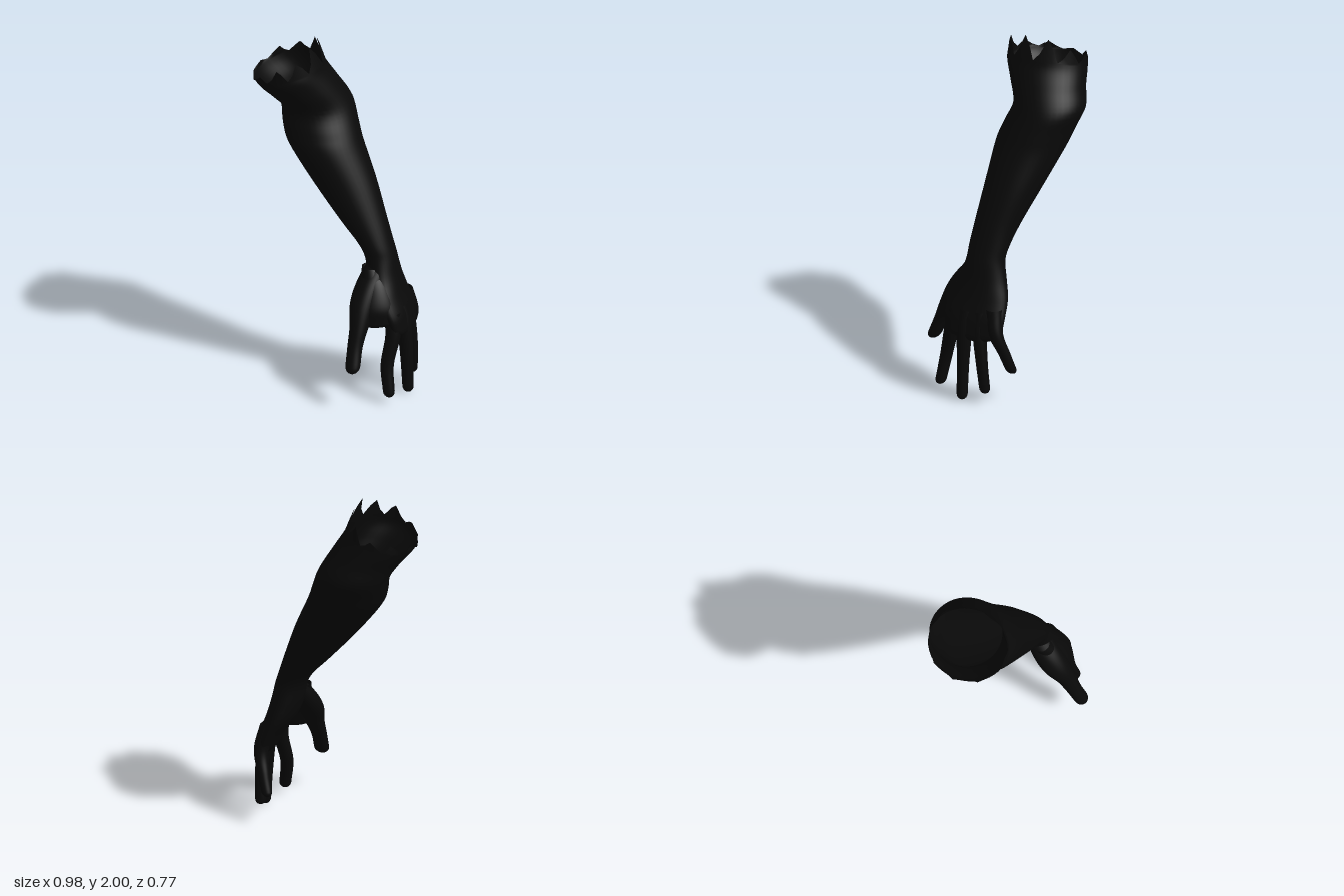
import * as THREE from 'three';

const SEG = 40;

// Skin over elliptical rings, listed from top to bottom.
// Each row: [x, y, z, radiusX, radiusZ, tilt]; tip = height of the rounded end,
// jag(j, cos) = height of the torn top edge at segment j.
function loft(rows, { tip, steps = 5, jag = null }) {
  const centre = new THREE.CatmullRomCurve3(rows.map(r => new THREE.Vector3(r[0], r[1], r[2])), false, 'catmullrom');
  const size = new THREE.CatmullRomCurve3(rows.map(r => new THREE.Vector3(r[3], r[4], r[5] || 0)), false, 'catmullrom');
  const rings = [];
  const n = (rows.length - 1) * steps;
  for (let i = 0; i <= n; i++) rings.push({ c: centre.getPoint(i / n), s: size.getPoint(i / n) });
  const end = rings[n];
  const dir = centre.getTangent(1);
  for (let k = 1; k <= 5; k++) {
    const a = (k / 5) * Math.PI / 2;
    rings.push({
      c: end.c.clone().addScaledVector(dir, tip * Math.sin(a)),
      s: end.s.clone().multiplyScalar(Math.cos(a)),
    });
  }
  const pos = [], index = [];
  rings.forEach(({ c, s }, i) => {
    for (let j = 0; j < SEG; j++) {
      const t = (j / SEG) * Math.PI * 2;
      const cos = Math.cos(t);
      const lift = jag && i === 0 ? jag(j, cos) : 0;
      pos.push(c.x + (s.x - lift * 0.4) * cos, c.y + s.z * cos + lift, c.z + s.y * Math.sin(t));
      if (i === rings.length - 1) continue;
      const a = i * SEG + j, b = i * SEG + (j + 1) % SEG;
      index.push(a, b, a + SEG, b, b + SEG, a + SEG);
    }
  });
  const g = new THREE.BufferGeometry();
  g.setAttribute('position', new THREE.Float32BufferAttribute(pos, 3));
  g.setIndex(index);
  g.computeVertexNormals();
  return g;
}

export function createModel() {
  const group = new THREE.Group();
  const black = new THREE.MeshStandardMaterial({ color: 0x090909, side: THREE.DoubleSide });
  black.name = 'black';
  const add = (name, geometry) => {
    const mesh = new THREE.Mesh(geometry, black);
    mesh.name = name;
    group.add(mesh);
    return mesh;
  };

  // Hollow arm with a ragged top, teeth taller on the +x side, running into the palm
  const teeth = [0, 0.6, 1, 0.35];
  const scale = [1, 0.8, 0.95, 0.65, 1, 0.7, 0.95, 0.6, 0.75, 1];
  const jag = (j, cos) => teeth[j % 4] * scale[Math.floor(j / 4)] * (0.08 + 0.045 * cos) - 0.01;
  add('armAndPalm', loft([
    [-0.288, 1.84, -0.105, 0.195, 0.227, 0.05],
    [-0.262, 1.79, -0.113, 0.19, 0.23, 0.045],
    [-0.205, 1.71, -0.145, 0.187, 0.215, 0.035],
    [-0.146, 1.61, -0.182, 0.2, 0.203, 0.01],
    [-0.11, 1.5, -0.143, 0.212, 0.203],
    [-0.07, 1.4, -0.11, 0.21, 0.2],
    [0.05, 1.2, -0.065, 0.18, 0.165],
    [0.173, 1.0, -0.02, 0.132, 0.13],
    [0.248, 0.88, 0, 0.098, 0.115],
    [0.283, 0.8, 0.007, 0.088, 0.112],
    [0.305, 0.7, 0.012, 0.088, 0.137],
    [0.338, 0.6, 0.02, 0.083, 0.17],
    [0.388, 0.5, 0.025, 0.068, 0.18],
    [0.415, 0.42, 0.022, 0.055, 0.172],
  ], { tip: 0.06, jag }));

  // Thumb with its fleshy base
  add('thumb', loft([
    [0.285, 0.78, 0.045, 0.062, 0.062],
    [0.252, 0.67, 0.12, 0.075, 0.082],
    [0.233, 0.57, 0.185, 0.073, 0.08],
    [0.23, 0.46, 0.25, 0.053, 0.06],
    [0.222, 0.36, 0.302, 0.043, 0.043],
    [0.222, 0.26, 0.345, 0.042, 0.038],
  ], { tip: 0.045 }));

  // Web of skin spanning from thumb to index finger
  const web = add('thumbWeb', loft([
    [-0.01, 0.76, -0.1, 0.055, 0.05],
    [0, 0.66, -0.045, 0.08, 0.062],
    [0, 0.56, 0.005, 0.1, 0.058],
    [0, 0.48, 0.025, 0.105, 0.045],
  ], { tip: 0.035 }));
  web.position.set(0.308, 0, 0.17);
  web.rotation.y = 0.48;

  // Fingers, from knuckle to tip
  const fingers = {
    indexFinger: [[0.385, 0.52, 0.135, 0.05, 0.05], [0.4, 0.39, 0.162, 0.043, 0.042], [0.378, 0.22, 0.203, 0.037, 0.035], [0.395, 0.07, 0.228, 0.033, 0.031]],
    middleFinger: [[0.4, 0.54, 0.06, 0.05, 0.05], [0.435, 0.41, 0.066, 0.042, 0.044], [0.45, 0.22, 0.068, 0.036, 0.034], [0.458, 0.035, 0.07, 0.031, 0.031]],
    ringFinger: [[0.395, 0.54, -0.02, 0.05, 0.05], [0.43, 0.41, -0.025, 0.042, 0.04], [0.445, 0.24, -0.044, 0.035, 0.033], [0.443, 0.09, -0.06, 0.031, 0.03]],
    littleFinger: [[0.385, 0.56, -0.09, 0.05, 0.05], [0.42, 0.42, -0.117, 0.042, 0.042], [0.395, 0.3, -0.157, 0.034, 0.034], [0.367, 0.2, -0.184, 0.031, 0.031]],
  };
  for (const [name, rows] of Object.entries(fingers)) add(name, loft(rows, { tip: 0.034 }));

  return group;
}
